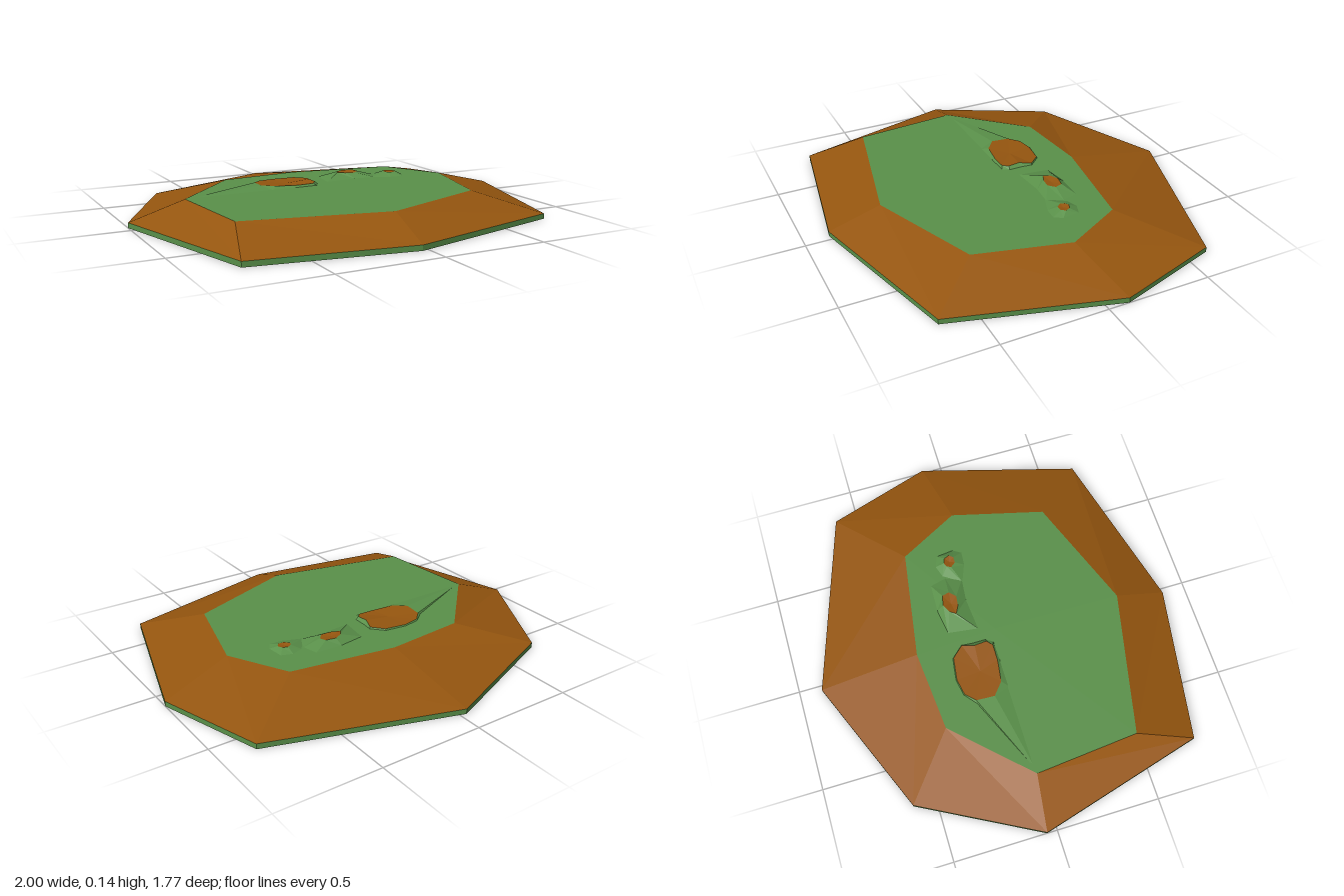
import * as THREE from 'three';

const grass = new THREE.MeshStandardMaterial({ color: 0x5a914a });
grass.name = 'grassGreen';
const earth = new THREE.MeshStandardMaterial({ color: 0x96560f });
earth.name = 'earthBrown';
for (const m of [grass, earth]) m.flatShading = true;

const BASE = 0.025, TOP = 0.113;

// Rings run left, back, right, front as seen from above.
const level = (points, y) => points.map(([x, z]) => [x, y, z]);

function facets(name, triangles, material) {
  const geometry = new THREE.BufferGeometry();
  geometry.setAttribute('position', new THREE.Float32BufferAttribute(triangles.flat(2), 3));
  geometry.computeVertexNormals();
  const mesh = new THREE.Mesh(geometry, material);
  mesh.name = name;
  return mesh;
}

// Band of faces between a lower ring and an upper ring
function band(name, low, high, material) {
  const tris = [];
  low.forEach((a, i) => {
    const j = (i + 1) % low.length;
    tris.push([a, high[i], high[j]], [a, high[j], low[j]]);
  });
  return facets(name, tris, material);
}

// Fan that fills a ring from a centre point
function fan(name, ring, centre, material, down = false) {
  const tris = ring.map((p, i) => {
    const q = ring[(i + 1) % ring.length];
    return down ? [centre, p, q] : [centre, q, p];
  });
  return facets(name, tris, material);
}

// Low mound: grassy skirt, then a bare earth hollow on top
function mound(name, foot, rim, pit) {
  const group = new THREE.Group();
  group.name = name;
  group.add(band(name + 'Skirt', level(foot, TOP - 0.001), rim, grass));
  group.add(fan(name + 'Hollow', rim, pit, earth));
  return group;
}

export function createModel() {
  const model = new THREE.Group();
  model.name = 'island';

  const outer = [[-1, -0.05], [-0.7, -0.61], [-0.03, -0.89], [0.84, -0.61],
    [1, -0.1], [0.78, 0.67], [-0.03, 0.88], [-0.78, 0.76]];
  const inner = [[-0.74, -0.02], [-0.41, -0.365], [-0.02, -0.4], [0.5, -0.32],
    [0.655, -0.03], [0.54, 0.42], [-0.01, 0.63], [-0.695, 0.485]];

  // Base slab, earth slope and grass plateau
  model.add(fan('baseUnderside', level(outer, 0), [0, 0, 0], grass, true));
  model.add(band('baseEdge', level(outer, 0), level(outer, BASE), grass));
  model.add(band('earthSlope', level(outer, BASE), level(inner, TOP), earth));
  model.add(fan('grassPlateau', level(inner, TOP), [0, TOP, 0], grass));

  // Wide shallow mound with a long ridge trailing to the right-hand edge
  model.add(mound('wideMound',
    [[-0.72, -0.02], [-0.34, -0.19], [-0.28, -0.24], [-0.2, -0.255], [-0.09, -0.24],
      [-0.035, -0.18], [-0.04, -0.12], [-0.04, -0.06], [-0.06, -0.025], [-0.16, -0.022], [-0.3, -0.021]],
    [[-0.33, 0.125, -0.1], [-0.325, 0.122, -0.19], [-0.28, 0.119, -0.235], [-0.2, 0.118, -0.25],
      [-0.09, 0.12, -0.235], [-0.04, 0.121, -0.18], [-0.06, 0.128, -0.12], [-0.055, 0.126, -0.06],
      [-0.08, 0.123, -0.035], [-0.16, 0.121, -0.035], [-0.27, 0.124, -0.05]],
    [-0.19, 0.116, -0.13]));

  // Tall middle mound
  model.add(mound('middleMound',
    [[0.02, -0.075], [0.04, -0.225], [0.17, -0.245], [0.31, -0.24],
      [0.33, -0.16], [0.3, -0.08], [0.19, -0.09]],
    [[0.12, 0.138, -0.16], [0.14, 0.139, -0.19], [0.18, 0.139, -0.21], [0.23, 0.138, -0.2],
      [0.24, 0.136, -0.165], [0.21, 0.136, -0.135], [0.16, 0.137, -0.14]],
    [0.18, 0.132, -0.17]));

  // Small end mound
  model.add(mound('smallMound',
    [[0.28, -0.08], [0.34, -0.17], [0.4, -0.19], [0.455, -0.17], [0.465, -0.08], [0.44, -0.04], [0.37, -0.045]],
    [[0.37, 0.13, -0.115], [0.38, 0.131, -0.135], [0.4, 0.131, -0.145], [0.425, 0.13, -0.135],
      [0.435, 0.13, -0.11], [0.42, 0.129, -0.09], [0.39, 0.129, -0.09]],
    [0.402, 0.125, -0.115]));

  return model;
}
